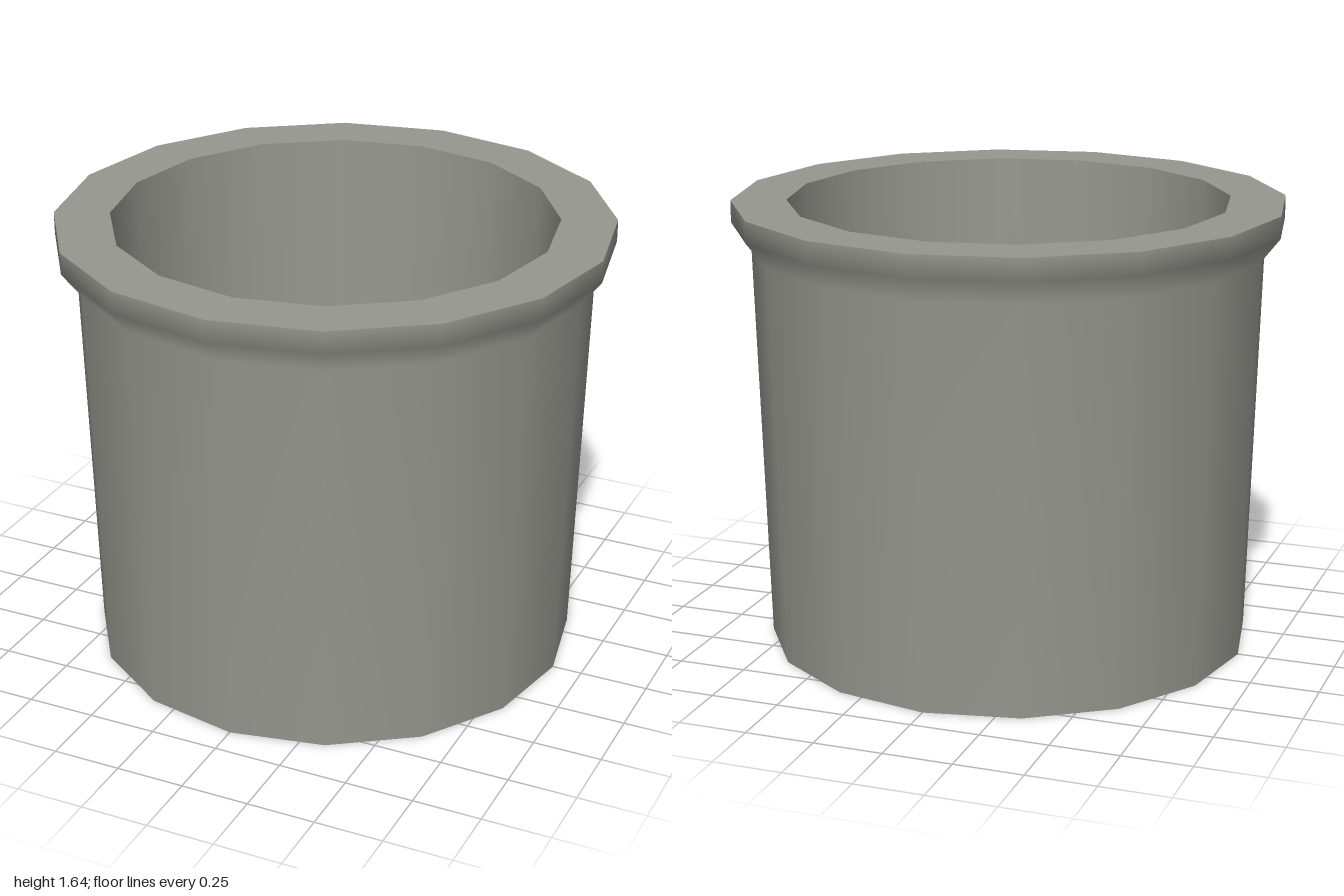
import * as THREE from 'three';

const SIDES = 16;

export function createModel() {
  const group = new THREE.Group();
  group.name = 'pot';
  const clay = new THREE.MeshStandardMaterial({ color: 0x96978f });
  clay.name = 'greyClay';

  // Each strip is smooth in itself; the edges between strips stay sharp.
  const strip = (name, profile) => {
    const points = profile.map(([r, y]) => new THREE.Vector2(r, y));
    const mesh = new THREE.Mesh(new THREE.LatheGeometry(points, SIDES), clay);
    mesh.name = name;
    group.add(mesh);
  };

  // Tapered outside wall flaring into the rim band
  strip('outerWall', [[0.89, 0], [0.93, 1.47], [1, 1.56], [1, 1.64]]);
  strip('rimTop', [[1, 1.64], [0.8, 1.64]]);

  // Hollow inside
  strip('innerWall', [[0.8, 1.64], [0.755, 0.24]]);
  strip('floor', [[0.755, 0.24], [0, 0.24]]);

  // Recessed underside with a foot ring
  strip('baseUnderside', [[0, 0.165], [0.755, 0.165]]);
  strip('recessWall', [[0.755, 0.165], [0.75, 0]]);
  strip('footRing', [[0.75, 0], [0.89, 0]]);

  return group;
}
